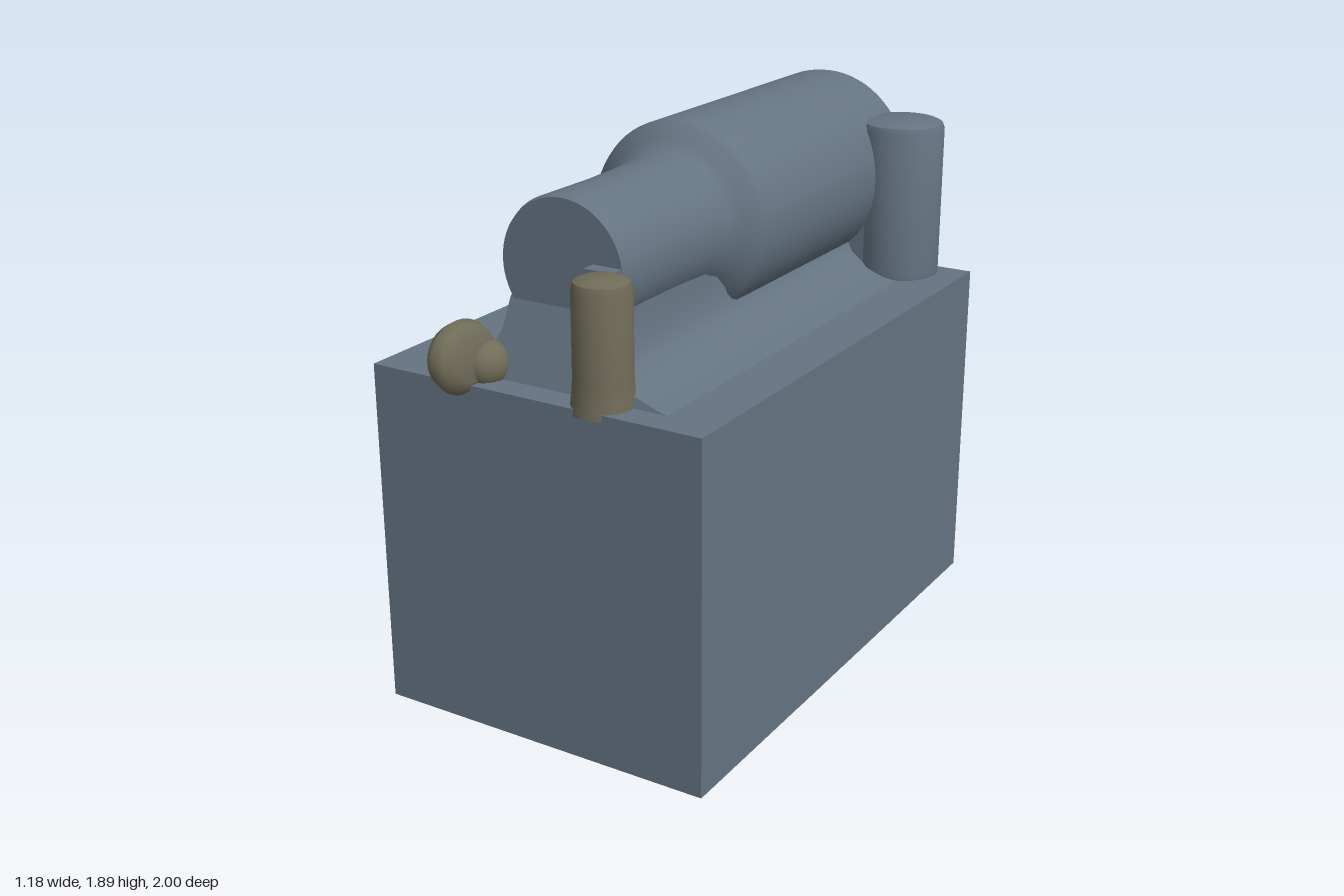
import * as THREE from 'three';
import { toCreasedNormals } from 'three/addons/utils/BufferGeometryUtils.js';

export function createModel() {
  const model = new THREE.Group();
  const slate = new THREE.MeshStandardMaterial({ name: 'slate grey', color: 0x657482, side: THREE.DoubleSide });
  const tan = new THREE.MeshStandardMaterial({ name: 'dull tan', color: 0x706c59, side: THREE.DoubleSide });

  const add = (name, geometry, material, x = 0, y = 0, z = 0, crease = 0.7) => {
    const mesh = new THREE.Mesh(toCreasedNormals(geometry, crease), material);
    mesh.name = name;
    mesh.position.set(x, y, z);
    model.add(mesh);
    return mesh;
  };
  const lathe = (points, segments = 48) =>
    new THREE.LatheGeometry(points.map(([r, h]) => new THREE.Vector2(r, h)), segments);

  // Hollow block: a box without its bottom face
  const block = new THREE.BoxGeometry(1.175, 1.155, 1.862);
  const index = Array.from(block.index.array);
  index.splice(18, 6);
  block.setIndex(index);
  block.clearGroups();
  add('block', block, slate, -0.002, 0.643, -0.036);

  // Broken, sagging underside; points are fractions from the right and back edges
  const outline = [
    [0.07, 0], [0.2, 0.08], [0.15, 0.23], [0, 0.28], [0, 0.67], [0.17, 0.8], [0.16, 0.9],
    [0.01, 0.82], [0, 0.93], [0.1, 0.96], [0.12, 1], [0.5, 1], [1, 1], [1, 0.86],
    [0.915, 0.92], [0.7, 0.895], [0.495, 0.745], [0.384, 0.524], [0.375, 0.394], [0.363, 0.122], [0.54, 0],
  ];
  const underside = new THREE.ShapeGeometry(new THREE.Shape(
    outline.map(([v, u]) => new THREE.Vector2(0.585 - 1.175 * v, -0.966 + 1.86 * u))));
  const flat = underside.attributes.position;
  for (let i = 0; i < flat.count; i++) {
    const x = flat.getX(i), z = flat.getY(i);
    const sag = Math.max(Math.abs(x) / 0.59, Math.abs(z + 0.035) / 0.93);
    flat.setXYZ(i, x, 0.066 * Math.min(1, sag * sag * sag), z);
  }
  // Turn the faces downward
  const faces = underside.index.array;
  const [a, b, c] = [0, 1, 2].map(k => new THREE.Vector3().fromBufferAttribute(flat, faces[k]));
  if (b.sub(a).cross(c.sub(a)).y > 0) {
    for (let i = 0; i < faces.length; i += 3) [faces[i], faces[i + 1]] = [faces[i + 1], faces[i]];
  }
  add('underside', underside, slate);

  // Stepped barrel lying along z
  const barrel = lathe([
    [0, -0.965], [0.3, -0.965], [0.317, -0.958], [0.32, -0.94], [0.32, 0.06], [0.31, 0.085],
    [0.27, 0.11], [0.24, 0.15], [0.223, 0.22], [0.218, 0.45], [0.22, 0.7], [0.213, 0.718], [0, 0.718],
  ], 64);
  barrel.rotateX(Math.PI / 2);
  add('barrel', barrel, slate, 0, 1.57, 0);

  // Flared cradle joining barrel and block, with a sloping front end
  const side = [[0.46, 1.21], [0.38, 1.228], [0.29, 1.255], [0.23, 1.3], [0.2, 1.36], [0.19, 1.46]];
  const profile = new THREE.Shape([...side, ...side.map(([x, y]) => [-x, y]).reverse()]
    .map(([x, y]) => new THREE.Vector2(x, y)));
  const cradle = new THREE.ExtrudeGeometry(profile, { depth: 1.685, bevelEnabled: false });
  cradle.translate(0, 0, -0.965);
  const p = cradle.attributes.position;
  for (let i = 0; i < p.count; i++) {
    if (p.getZ(i) > 0) p.setZ(i, 0.715 + 0.09 * (1.46 - p.getY(i)) / 0.25);
  }
  add('cradle', cradle, slate);

  // Rear post, overhanging the back face a little
  add('rearPost', lathe([
    [0, 1.15], [0.125, 1.16], [0.142, 1.19], [0.145, 1.24], [0.145, 1.74], [0.138, 1.758], [0.12, 1.766], [0, 1.772],
  ]), slate, 0.35, 0, -0.853);
  // Web between rear post and barrel
  add('rearWeb', new THREE.BoxGeometry(0.14, 0.53, 0.2), slate, 0.28, 1.48, -0.83);

  // Front post and the web behind it
  add('frontPost', lathe([
    [0, 1.19], [0.1, 1.2], [0.093, 1.26], [0.09, 1.3], [0.09, 1.565], [0.083, 1.59], [0.06, 1.6], [0, 1.604],
  ], 32), tan, 0.203, 0, 0.81);
  add('frontWeb', new THREE.BoxGeometry(0.1, 0.38, 0.07), slate, 0.16, 1.41, 0.73);

  // Rounded disc lever at the front edge
  const lever = lathe([
    [0, -0.046], [0.075, -0.046], [0.105, -0.032], [0.12, 0], [0.105, 0.032], [0.075, 0.046], [0, 0.046],
  ], 32);
  lever.rotateZ(Math.PI / 2);
  lever.scale(1, 0.95, 1.08);
  const leverMesh = add('lever', lever, tan, -0.262, 1.295, 0.87, 1.2);
  leverMesh.rotation.set(0, -0.1, 0.12);

  // Short stem holding the lever
  const stem = new THREE.SphereGeometry(1, 24, 16);
  stem.scale(0.07, 0.075, 0.08);
  add('leverStem', stem, tan, -0.225, 1.26, 0.8, 1.2);

  return model;
}
